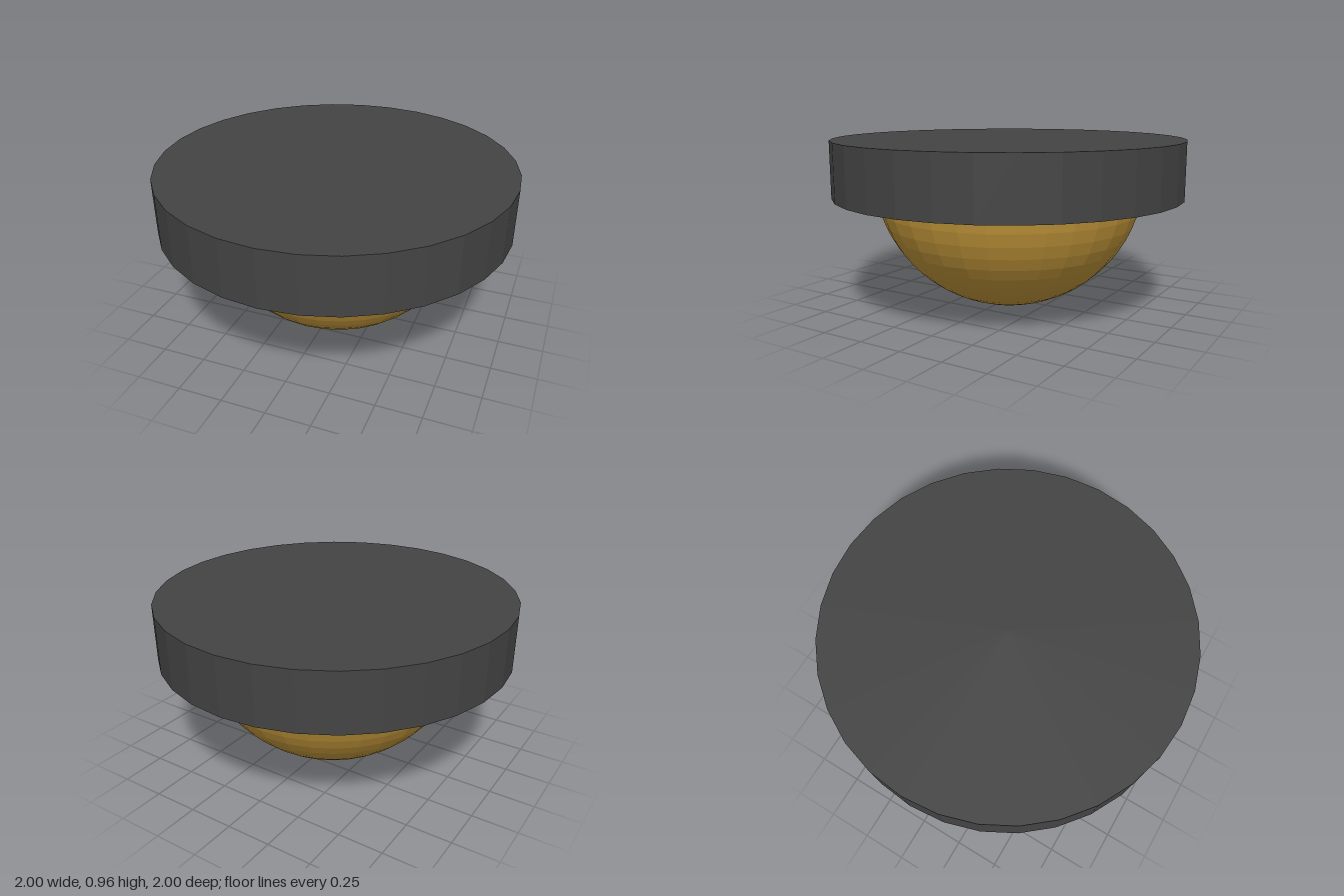
import * as THREE from 'three';

export function createModel() {
  const group = new THREE.Group();
  const add = (name, geometry, color, x, y, z) => {
    const material = new THREE.MeshStandardMaterial({ color, flatShading: true });
    const mesh = new THREE.Mesh(geometry, material);
    mesh.name = name;
    mesh.position.set(x, y, z);
    group.add(mesh);
  };

  // Thick dark disc on top
  add('disc', new THREE.CylinderGeometry(1, 1, 0.32, 32), 0x444444, 0, 0.8, 0);

  // Golden half-sphere hanging below, its open rim buried in the disc
  const radius = 0.773;
  const dome = new THREE.SphereGeometry(radius, 32, 16, 0, Math.PI * 2, Math.PI / 2, Math.PI / 2);
  add('dome', dome, 0xc89b3c, 0.01, radius, -0.015);

  return group;
}
